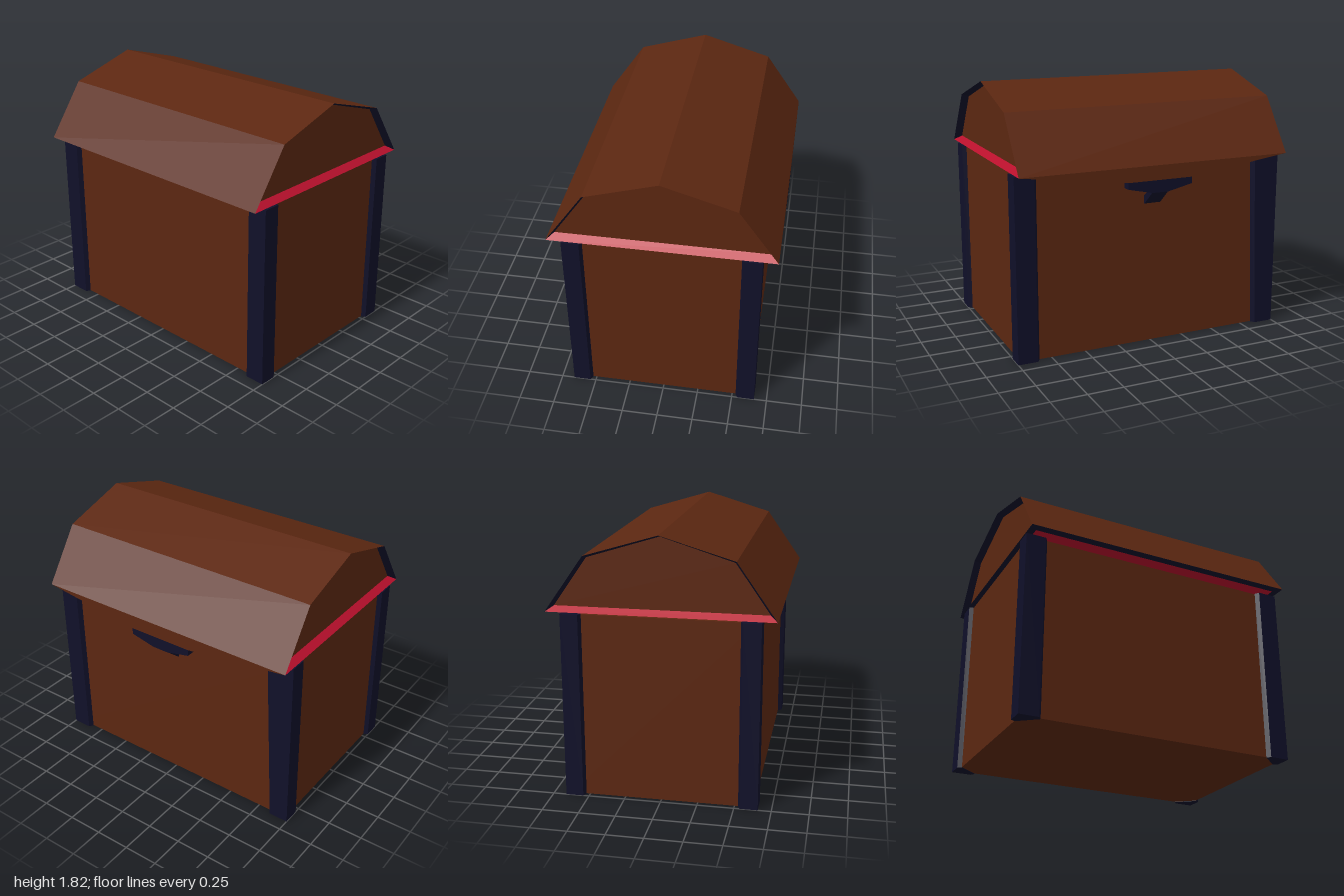
import * as THREE from 'three';

const mat = (name, color, side = THREE.FrontSide) => {
  const m = new THREE.MeshStandardMaterial({ color, side });
  m.name = name;
  return m;
};

export function createModel() {
  const wood = mat('brown wood', 0x5c2711);
  const iron = mat('dark navy iron', 0x101029);
  const red = mat('red lining', 0xb8102c);
  const model = new THREE.Group();

  const add = (parent, name, geo, material) => {
    const mesh = new THREE.Mesh(geo, material);
    mesh.name = name;
    parent.add(mesh);
    return mesh;
  };
  const shapeOf = (pts) => new THREE.Shape(pts.map(([a, b]) => new THREE.Vector2(a, b)));
  // Flat polygons, each fanned from its first corner (counter-clockwise from outside)
  const polygons = (faces) => {
    const pos = [];
    for (const f of faces)
      for (let i = 1; i < f.length - 1; i++) pos.push(...f[0], ...f[i], ...f[i + 1]);
    const geo = new THREE.BufferGeometry();
    geo.setAttribute('position', new THREE.Float32BufferAttribute(pos, 3));
    geo.computeVertexNormals();
    return geo;
  };
  // Outline in z and y, extruded along x
  const sidePlate = (pts, x, depth) =>
    new THREE.ExtrudeGeometry(shapeOf(pts), { depth, bevelEnabled: false })
      .rotateY(Math.PI / 2).translate(x, 0, 0);

  // Chest body, set back a little behind the corner posts
  const H = 1.285;
  add(model, 'body', new THREE.BoxGeometry(1.26, H - 0.008, 1.94).translate(0, H / 2, 0), wood);

  // Corner posts with bevelled inner edges
  const section = [[0.66, 1], [0.66, 0.86], [0.63, 0.84], [0.525, 0.97], [0.54, 1]];
  for (const sx of [-1, 1]) for (const sz of [-1, 1]) {
    const geo = new THREE.ExtrudeGeometry(
      shapeOf(section.map(([x, z]) => [x * sx, -z * sz])), { depth: H, bevelEnabled: false });
    geo.rotateX(-Math.PI / 2);
    if (sx > 0 && sz < 0) {
      // This post widens towards its top
      const p = geo.attributes.position;
      for (let i = 0; i < p.count; i++)
        if (p.getZ(i) > -0.9 && p.getY(i) > 1) p.setZ(i, p.getZ(i) + 0.055);
      geo.computeVertexNormals();
    }
    add(model, 'cornerPost', geo, iron);
  }

  // Lid: gambrel roof with recessed ends
  const lid = new THREE.Group();
  lid.name = 'lid';
  model.add(lid);
  const Y = 1.297;
  const outer = [[-0.76, Y], [0.76, Y], [0.495, 1.675], [0, 1.823], [-0.495, 1.675]];
  const inner = [[-0.71, 1.33], [0.71, 1.33], [0.483, 1.658], [0, 1.808], [-0.483, 1.658]];
  const at = (p, z) => [p[0], p[1], z];
  const roof = [], trim = [];
  for (let i = 1; i < 5; i++) {
    const a = outer[i], b = outer[(i + 1) % 5], c = inner[(i + 1) % 5], d = inner[i];
    roof.push([at(a, 1), at(a, -1), at(b, -1), at(b, 1)]);
    trim.push([at(a, 1), at(b, 1), at(c, 0.95), at(d, 0.95)]);
  }
  add(lid, 'lidRoof', polygons(roof), wood);
  for (const turn of [0, Math.PI]) {
    const end = new THREE.Group();
    end.name = 'lidEnd';
    end.rotation.y = turn;
    add(end, 'endPanel', polygons([inner.map((p) => at(p, 0.95))]), wood);
    add(end, 'endTrim', polygons(trim), iron);
    add(end, 'endSill', polygons([
      [at(outer[0], 1), at(outer[1], 1), at(inner[1], 0.95), at(inner[0], 0.95)]]), red);
    lid.add(end);
  }

  // Underside: iron rim around a red lining
  const rim = [[-0.76, -1], [0.76, -1], [0.76, 1], [-0.76, 1]];
  const lining = [[-0.7, -0.95], [0.7, -0.95], [0.7, 0.95], [-0.7, 0.95]];
  const under = ([x, z]) => [x, Y, z];
  add(lid, 'lidLining', polygons([lining.map(under)]), red);
  add(lid, 'lidRim', polygons(rim.map((p, i) => {
    const j = (i + 1) % 4;
    return [p, rim[j], lining[j], lining[i]].map(under);
  })), iron);

  // Lid edge dipping towards the clasp
  add(lid, 'lidDip', sidePlate(
    [[-1, Y], [-0.24, 1.195], [0.24, 1.195], [1, Y]], 0.7, 0.06), [wood, iron]);

  // Clasp plate and the prong that reaches into the body
  add(model, 'claspPlate', sidePlate(
    [[-0.24, 1.195], [-0.24, 1.15], [-0.06, 1.11], [0.06, 1.11], [0.24, 1.15], [0.24, 1.195]],
    0.7, 0.06), iron);
  add(model, 'claspProng', new THREE.ExtrudeGeometry(
    shapeOf([[0.76, 1.115], [0.7, 1.115], [0.62, 1.06], [0.62, 1.01], [0.64, 1.01]]),
    { depth: 0.12, bevelEnabled: false }).translate(0, 0, -0.06), iron);

  return model;
}
